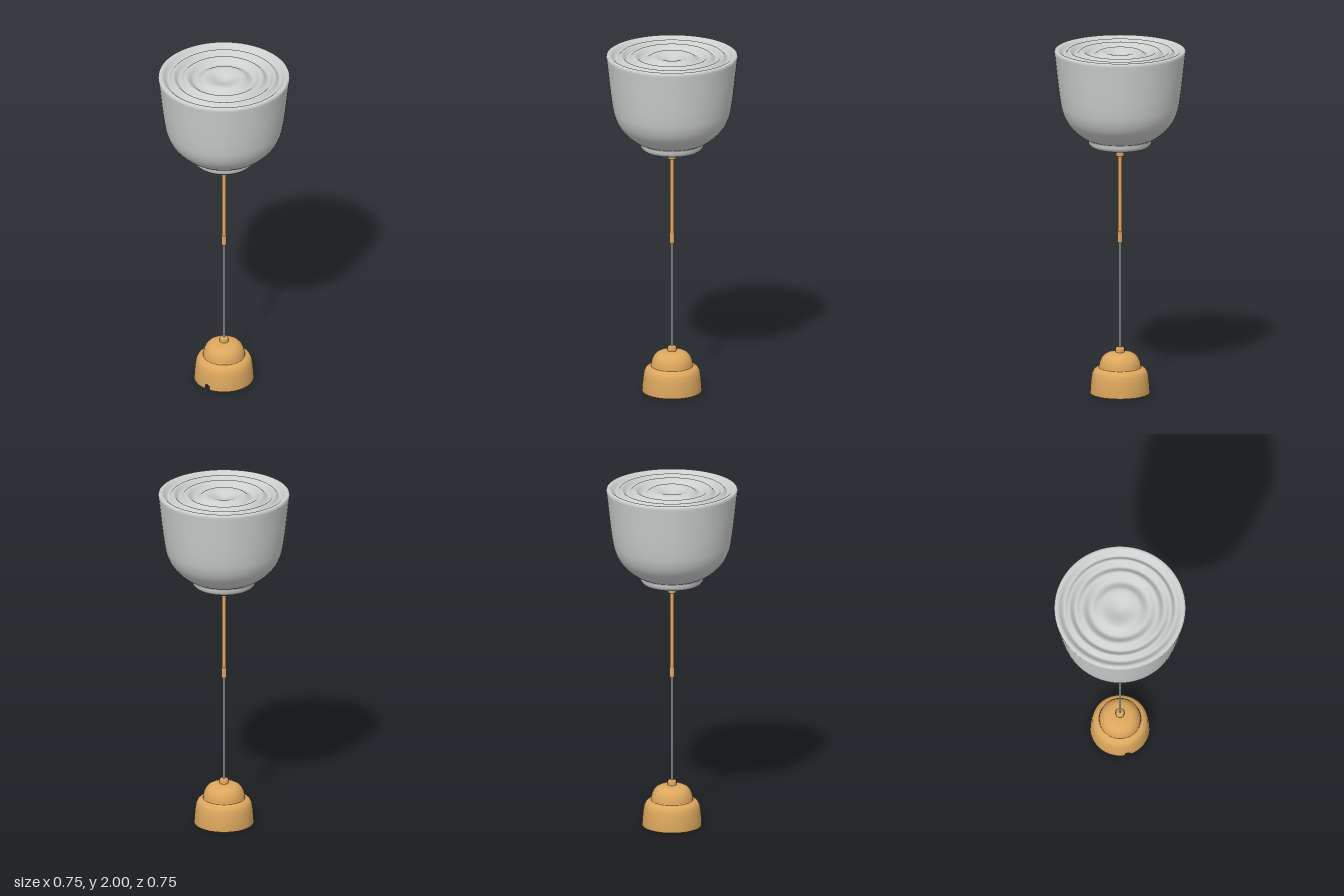
import * as THREE from 'three';

const V = (x, y) => new THREE.Vector2(x, y);

export function createModel() {
  const root = new THREE.Group();
  const mat = (name, color) => {
    const m = new THREE.MeshStandardMaterial({ color });
    m.name = name;
    return m;
  };
  const glass = mat('pale grey glass', 0xcccfcd);
  const brass = mat('warm brass', 0xdca75e);
  const cableGrey = mat('cable grey', 0xbabdc0);
  const metal = mat('dark metal', 0x7b838d);

  const add = (name, geo, material, x = 0, y = 0, z = 0, parent = root) => {
    const mesh = new THREE.Mesh(geo, material);
    mesh.name = name;
    mesh.position.set(x, y, z);
    parent.add(mesh);
    return mesh;
  };
  const rod = (name, r, y0, y1, material) =>
    add(name, new THREE.CylinderGeometry(r, r, y1 - y0, 24), material, 0, (y0 + y1) / 2, 0);
  const points = list => list.map(([x, y]) => V(x, y));

  // Shade: rounded bowl wall with a short neck
  const wall = new THREE.SplineCurve(points([
    [0.182, 1.480], [0.215, 1.497], [0.257, 1.530], [0.300, 1.580], [0.327, 1.640],
    [0.341, 1.710], [0.353, 1.800], [0.364, 1.900], [0.373, 1.978],
  ])).getPoints(32);
  const shade = points([[0.155, 1.438], [0.163, 1.438], [0.172, 1.446], [0.179, 1.456], [0.180, 1.468]])
    .concat(wall, points([[0.374, 1.988], [0.371, 1.996], [0.365, 2.0]]));

  // Rippled top: smooth waves between alternating crests and troughs
  const waves = [[0.357, 2.0], [0.317, 1.974], [0.29, 1.995], [0.254, 1.969],
    [0.216, 1.994], [0.166, 1.965], [0.110, 1.990], [0, 1.962]];
  for (let i = 0; i < waves.length - 1; i++) {
    const [r0, y0] = waves[i], [r1, y1] = waves[i + 1];
    for (let k = 0; k < 8; k++) {
      const t = k / 8, s = (1 - Math.cos(Math.PI * t)) / 2;
      shade.push(V(r0 + (r1 - r0) * t, y0 + (y1 - y0) * s));
    }
  }
  shade.push(V(0, 1.962));
  add('shade', new THREE.LatheGeometry(shade, 64), glass);

  // Ringed plate closing the underside of the shade
  add('shadePlate', new THREE.LatheGeometry(points([
    [0.02, 1.452], [0.036, 1.452], [0.042, 1.460], [0.056, 1.460], [0.062, 1.448],
    [0.076, 1.448], [0.084, 1.458], [0.094, 1.456], [0.102, 1.440], [0.150, 1.437],
    [0.160, 1.437], [0.164, 1.443],
  ]), 64), brass);

  // Stem, its fittings and the cable
  rod('socketCollar', 0.024, 1.38, 1.462, brass);
  rod('stem', 0.0125, 0.93, 1.385, brass);
  rod('stemFerrule', 0.0145, 0.878, 0.94, brass);
  rod('cable', 0.007, 0.12, 0.88, cableGrey);

  // Hollow stepped canopy: inside profile down, outside profile back up
  const canopyGeo = new THREE.LatheGeometry(points([
    [0, 0.229], [0.05, 0.227], [0.085, 0.212], [0.106, 0.185], [0.113, 0.147], [0.138, 0.135],
    [0.152, 0.112], [0.158, 0.08], [0.162, 0.045], [0.166, 0.0],
    [0.170, 0.0], [0.167, 0.045], [0.163, 0.085], [0.158, 0.115], [0.149, 0.133], [0.137, 0.143],
    [0.121, 0.147], [0.118, 0.149], [0.118, 0.163], [0.113, 0.184], [0.103, 0.205], [0.088, 0.222],
    [0.070, 0.231], [0.045, 0.236], [0, 0.237],
  ]), 240);
  // Cable notch: lift the front rim into a small arch
  const pos = canopyGeo.attributes.position;
  for (let i = 0; i < pos.count; i++) {
    if (pos.getY(i) > 0.001) continue;
    const angle = Math.atan2(pos.getX(i), pos.getZ(i)) + 0.425;
    const u = Math.abs(angle) * 0.168 / 0.016;
    if (u < 1) pos.setY(i, 0.018 + 0.014 * Math.sqrt(1 - u * u));
  }
  add('canopy', canopyGeo, brass);
  add('canopyNut', new THREE.LatheGeometry(points([
    [0.025, 0.23], [0.025, 0.257], [0.021, 0.264], [0.007, 0.265],
  ]), 24), brass);

  // Terminal block inside the canopy
  const terminal = new THREE.Group();
  terminal.name = 'terminalBlock';
  terminal.position.set(-0.018, 0, -0.018);
  terminal.rotation.y = Math.PI / 4;
  root.add(terminal);
  add('blockBody', new THREE.BoxGeometry(0.06, 0.04, 0.035), metal, 0, 0.075, 0, terminal);
  add('blockBracket', new THREE.BoxGeometry(0.012, 0.135, 0.006), metal, 0, 0.155, 0, terminal);
  for (const x of [-0.02, 0, 0.02]) {
    add('blockTube', new THREE.CylinderGeometry(0.008, 0.008, 0.05, 12), cableGrey, x, 0.07, 0, terminal)
      .rotation.x = Math.PI / 2;
    add('blockScrew', new THREE.CylinderGeometry(0.006, 0.006, 0.02, 12), metal, x, 0.05, 0, terminal);
  }
  return root;
}
